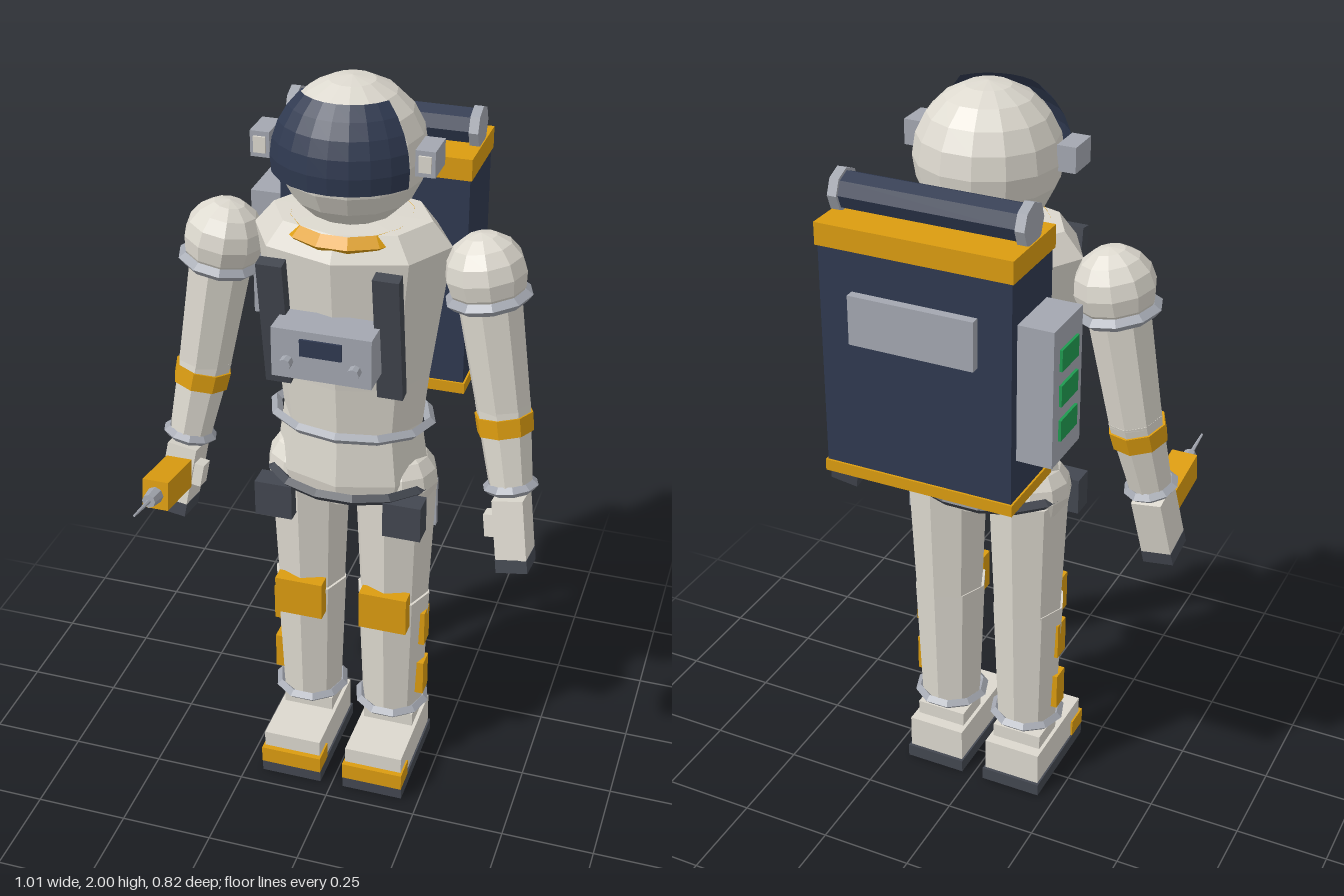
import * as THREE from 'three';

const paint = (name, color) => {
  const m = new THREE.MeshStandardMaterial({ color });
  m.name = name;
  return m;
};

export function createModel() {
  const suit = paint('suit white', 0xdcd8ce);
  const orange = paint('safety orange', 0xdb9c10);
  const navy = paint('navy', 0x2f3950);
  const dark = paint('dark rubber', 0x434750);
  const gray = paint('metal gray', 0xa3a7b0);
  const green = paint('indicator green', 0x1f9a50);

  const model = new THREE.Group();
  model.name = 'spaceWorker';

  // Adds a faceted mesh
  const add = (parent, name, geometry, material, x = 0, y = 0, z = 0) => {
    const flat = geometry.index ? geometry.toNonIndexed() : geometry;
    flat.computeVertexNormals();
    const mesh = new THREE.Mesh(flat, material);
    mesh.name = name;
    mesh.position.set(x, y, z);
    parent.add(mesh);
    return mesh;
  };
  const box = (w, h, d) => new THREE.BoxGeometry(w, h, d);
  const cyl = (top, bottom, h, n = 8) => new THREE.CylinderGeometry(top, bottom, h, n);
  const ball = (r, w = 10, h = 8) => new THREE.SphereGeometry(r, w, h);
  const ring = (r, tube, n = 10, zScale = 1) =>
    new THREE.TorusGeometry(r, tube, 4, n).rotateX(Math.PI / 2).scale(1, 1, zScale);
  const group = (name, parent = model) => {
    const g = new THREE.Group();
    g.name = name;
    parent.add(g);
    return g;
  };
  // Group at point a whose -y axis runs toward point b
  const limb = (name, parent, a, b) => {
    const g = group(name, parent);
    g.position.copy(a);
    g.quaternion.setFromUnitVectors(new THREE.Vector3(0, -1, 0), b.clone().sub(a).normalize());
    return g;
  };

  // Torso and pelvis
  const profile = [[0, 0.9], [0.19, 0.9], [0.205, 0.96], [0.185, 1.1], [0.2, 1.24],
    [0.25, 1.6], [0.2, 1.66], [0, 1.665]].map(p => new THREE.Vector2(...p));
  add(model, 'torso', new THREE.LatheGeometry(profile, 8).scale(1, 1, 0.72), suit);
  add(model, 'waistRing', ring(0.205, 0.015, 12, 0.71), gray, 0, 1.105, 0);
  add(model, 'belt', ring(0.212, 0.016, 14, 0.76), dark, 0, 0.935, 0);
  add(model, 'neckRing', ring(0.15, 0.024, 14), orange, 0, 1.637, 0);
  add(model, 'hipTool', box(0.014, 0.14, 0.016), gray, 0.22, 0.86, -0.01);

  // Helmet and visor
  const helmet = group('helmet');
  helmet.position.y = 1.82;
  add(helmet, 'helmetShell', ball(0.181, 14, 10), suit);
  const half = 1.01;
  add(helmet, 'visor',
    new THREE.SphereGeometry(0.2, 8, 5, Math.PI / 2 - half, half * 2, 0.68, 1.08).rotateY(0),
    navy).material.side = THREE.DoubleSide;

  // Chest control box
  const chest = group('chestUnit');
  add(chest, 'controlBox', box(0.25, 0.13, 0.1), gray, 0, 1.39, 0.203);
  add(chest, 'screen', box(0.105, 0.044, 0.008), navy, 0, 1.413, 0.255);

  for (const s of [-1, 1]) {
    // Helmet lamps
    add(helmet, 'lamp', box(0.048, 0.064, 0.088), gray, s * 0.2, 0.02, 0.043);
    add(helmet, 'lampLens', box(0.03, 0.04, 0.006), suit, s * 0.2, 0.02, 0.089);

    // Chest straps and knobs
    add(chest, 'strap', box(0.065, 0.345, 0.035), dark, s * 0.143, 1.423, 0.165).rotation.x = 0.15;
    add(chest, 'knob', cyl(0.016, 0.016, 0.03).rotateX(Math.PI / 2), gray, s * 0.085, 1.37, 0.262);

    // Hip and leg
    const leg = group(s > 0 ? 'leftLeg' : 'rightLeg');
    leg.position.x = s * 0.117;
    add(leg, 'hip', ball(0.1), suit, s * 0.013, 0.93, 0);
    add(leg, 'thigh', cyl(0.11, 0.095, 0.35), suit, 0, 0.745, 0);
    add(leg, 'shin', cyl(0.1, 0.085, 0.38), suit, 0, 0.385, 0.005);
    add(leg, 'ankleRing', ring(0.09, 0.014), gray, 0, 0.203, 0.006);
    add(leg, 'kneePad', box(0.13, 0.11, 0.04), orange, 0, 0.558, 0.095);
    for (const y of [0.47, 0.3]) {
      add(leg, 'sidePad', box(0.025, 0.105, 0.05), orange, s * 0.084, y, 0.012);
    }
    add(leg, 'pouch', box(0.1, 0.1, 0.06), dark, s * 0.055, 0.88, 0.11);

    // Boot
    add(leg, 'sole', box(0.17, 0.036, 0.306), dark, 0, 0.018, 0.048);
    add(leg, 'bootBody', box(0.16, 0.095, 0.287), suit, 0, 0.083, 0.047);
    add(leg, 'bootCuff', box(0.14, 0.042, 0.11), suit, 0, 0.15, -0.01);
    add(leg, 'toeCap', box(0.17, 0.048, 0.07), orange, 0, 0.06, 0.17);

    // Arm
    const arm = group(s > 0 ? 'leftArm' : 'rightArm');
    const shoulder = new THREE.Vector3(s * 0.333, 1.545, 0);
    const elbow = new THREE.Vector3(s * 0.393, 1.2, 0.015);
    const wrist = new THREE.Vector3(s * 0.432, 0.985, 0.052);
    const tip = new THREE.Vector3(s * 0.464, 0.775, 0.092);

    const upper = limb('upperArm', arm, shoulder, elbow);
    add(upper, 'shoulderBall', ball(0.102), suit);
    add(upper, 'sleeve', cyl(0.084, 0.07, 0.36), suit, 0, -0.18, 0);
    add(upper, 'shoulderRing', ring(0.093, 0.016), gray, 0, -0.06, 0);

    const fore = limb('forearm', arm, elbow, wrist);
    add(fore, 'elbowJoint', ball(0.069, 8, 6), suit);
    add(fore, 'foreSleeve', cyl(0.071, 0.056, 0.23), suit, 0, -0.11, 0);
    add(fore, 'armBand', cyl(0.075, 0.073, 0.048), orange, 0, -0.045, 0);
    add(fore, 'wristRing', ring(0.058, 0.014), gray, 0, -0.215, 0);

    const hand = limb('hand', arm, wrist, tip);
    add(hand, 'glove', box(0.08, 0.16, 0.1), suit, 0, -0.1, 0);
    add(hand, 'fingertips', box(0.082, 0.036, 0.1), dark, 0, -0.197, 0);
    add(hand, 'thumb', box(0.032, 0.06, 0.045), suit, -s * 0.05, -0.09, 0.02);
  }

  // Hand drill, nose tipped slightly upward
  const drill = group('drill');
  drill.position.set(-0.44, 0.92, 0.2);
  drill.rotation.x = -0.16;
  add(drill, 'drillBody', box(0.07, 0.078, 0.16), orange);
  add(drill, 'chuck', cyl(0.018, 0.023, 0.045).rotateX(Math.PI / 2), gray, 0, 0, 0.1);
  add(drill, 'drillBit', cyl(0.003, 0.006, 0.1, 6).rotateX(Math.PI / 2), gray, 0, 0, 0.163);

  // Backpack
  const pack = group('backpack');
  pack.position.z = -0.281;
  add(pack, 'packBody', box(0.49, 0.58, 0.215), navy, 0, 1.41, 0);
  add(pack, 'topCap', box(0.5, 0.056, 0.226), orange, 0, 1.725, 0);
  add(pack, 'bottomCap', box(0.5, 0.03, 0.226), orange, 0, 1.115, 0);
  add(pack, 'backPlate', box(0.32, 0.125, 0.03), gray, 0, 1.533, -0.116);
  add(pack, 'roll', cyl(0.046, 0.046, 0.46).rotateZ(Math.PI / 2), navy, 0, 1.795, 0);
  for (const s of [-1, 1]) {
    add(pack, 'rollCap', cyl(0.053, 0.053, 0.024).rotateZ(Math.PI / 2), gray, s * 0.235, 1.795, 0);
  }

  // Side module with indicator lights
  add(pack, 'sideModule', box(0.09, 0.35, 0.16), gray, -0.29, 1.41, 0);
  for (const y of [1.32, 1.41, 1.5]) {
    add(pack, 'indicator', box(0.008, 0.054, 0.094), green, -0.338, y, 0);
  }

  return model;
}
